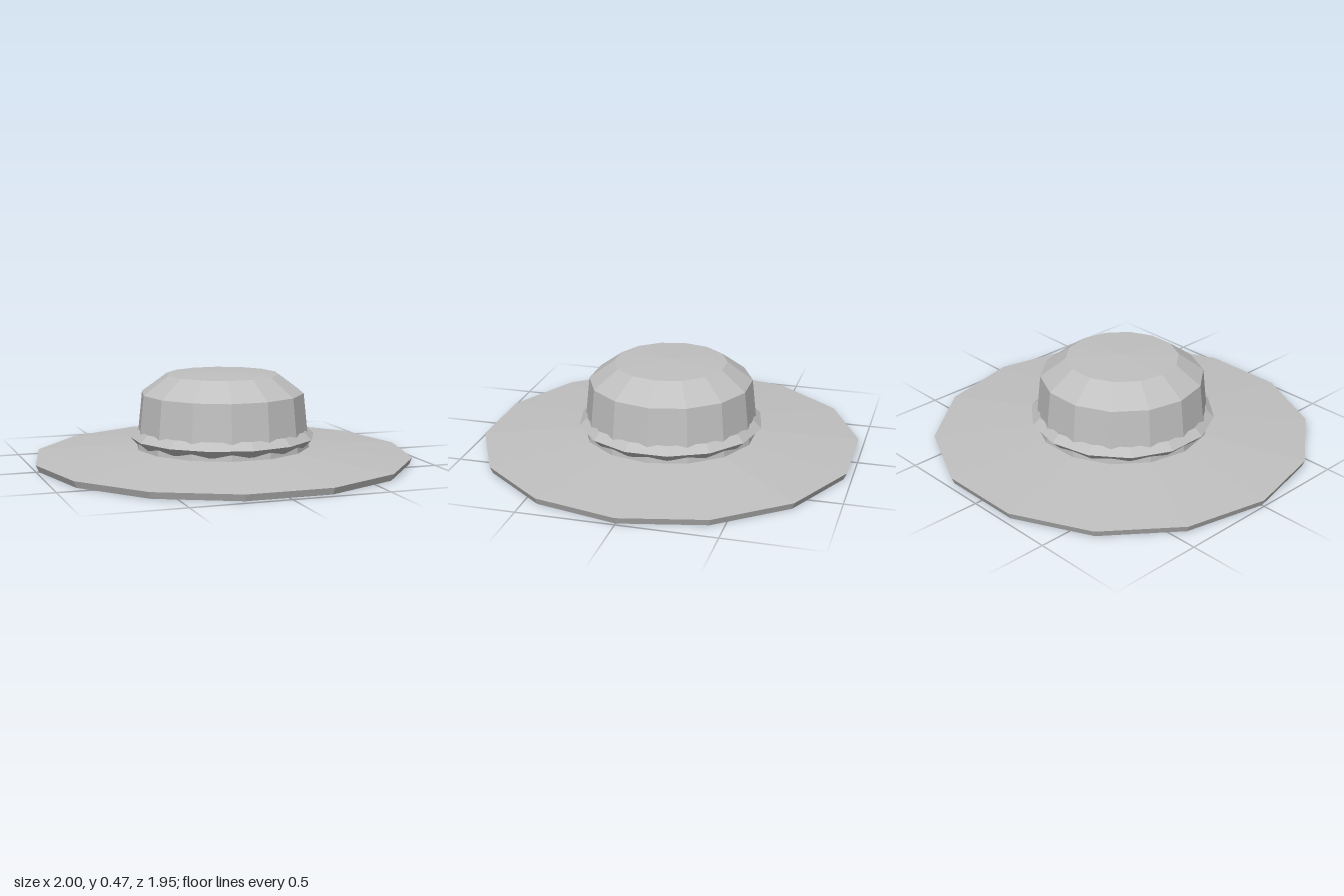
import * as THREE from 'three';

const SIDES = 14;

export function createModel() {
  const hat = new THREE.Group();
  hat.name = 'hat';
  const felt = new THREE.MeshStandardMaterial({ color: 0xc0c0c0 });
  felt.name = 'grey felt';

  // Faceted ring turned from a [radius, height] profile, listed bottom to top
  function turned(name, profile, start) {
    const points = profile.map(([r, y]) => new THREE.Vector2(r, y));
    const geometry = new THREE.LatheGeometry(points, SIDES, start).toNonIndexed();
    geometry.computeVertexNormals();
    const mesh = new THREE.Mesh(geometry, felt);
    mesh.name = name;
    hat.add(mesh);
  }

  // Wide brim, slightly hollow underneath and sloping up to the crown
  turned('brim', [[0, 0.015], [0.985, 0], [1, 0.035], [0.46, 0.08], [0.4, 0.085]], Math.PI / 2);

  // Crown with a bevelled shoulder and a very shallow peak
  turned('crown', [[0.46, 0.075], [0.43, 0.365], [0.297, 0.463], [0, 0.475]], Math.PI / 2);

  // Diamond-section band, turned half a step against the crown
  turned('band', [[0.41, 0.135], [0.45, 0.095], [0.49, 0.135], [0.45, 0.175], [0.41, 0.135]], 0);

  return hat;
}
